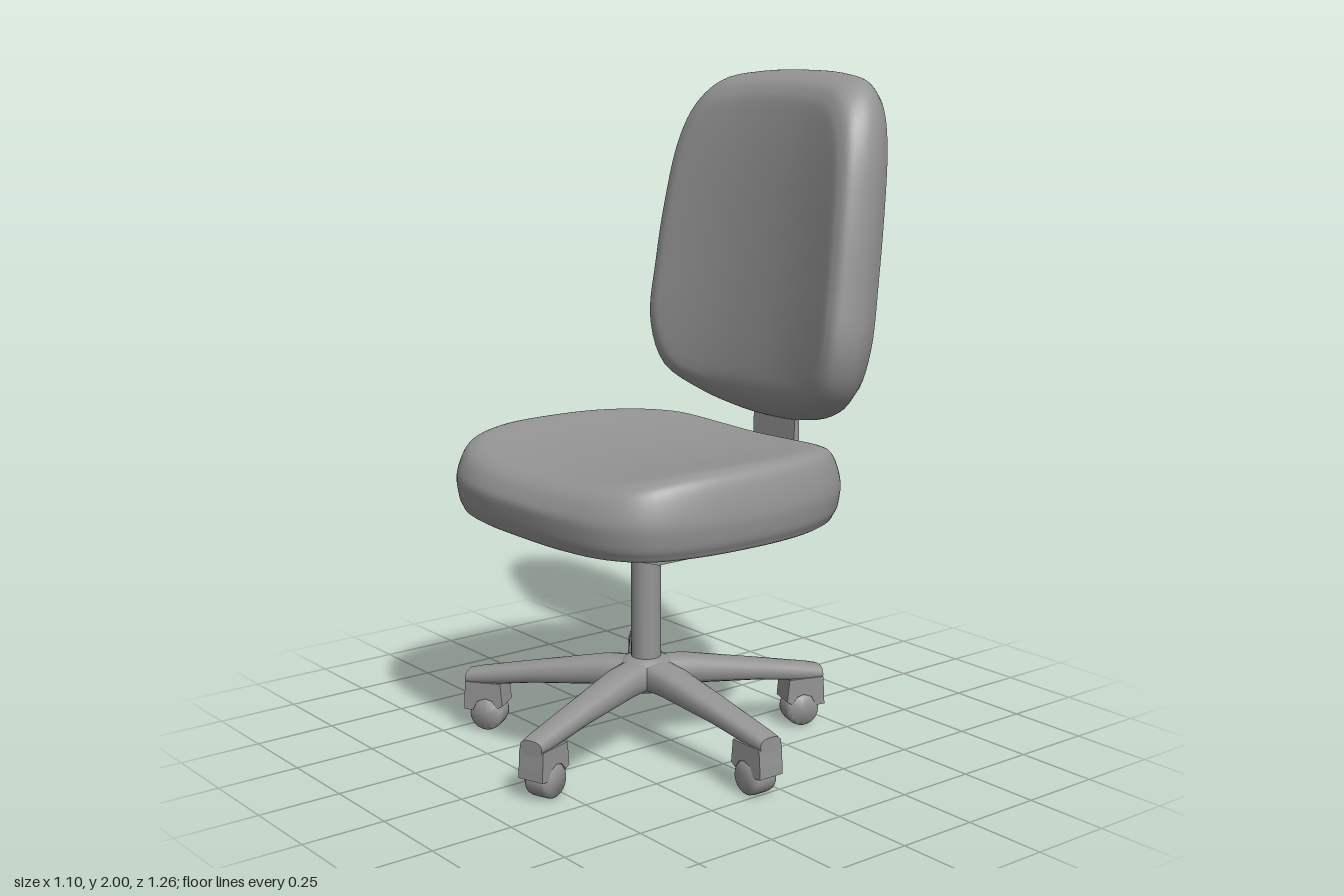
import * as THREE from 'three';
import { mergeVertices, toCreasedNormals } from 'three/addons/utils/BufferGeometryUtils.js';

const grey = new THREE.MeshStandardMaterial({ color: 0x949494 });

function add(parent, name, geometry, x = 0, y = 0, z = 0) {
  const mesh = new THREE.Mesh(geometry, grey);
  mesh.name = name;
  mesh.position.set(x, y, z);
  parent.add(mesh);
  return mesh;
}

// Cushion: a mirrored outline swept from one face, round the rim, to the other.
// half: outline points [u, v] with u >= 0, from bottom to top; cv: centre of scaling
// profile: [scale, depth]; place(u, v, depth) gives the point in space
function cushion(half, cv, profile, place) {
  const mirrored = half.slice(1, -1).reverse().map(([u, v]) => [-u, v]);
  const loop = new THREE.CatmullRomCurve3(
    [...half, ...mirrored].map(([u, v]) => new THREE.Vector3(u, v, 0)), true);
  const n = 96, rows = 60;
  const rim = loop.getPoints(n).slice(0, n);
  const section = new THREE.SplineCurve(profile.map(p => new THREE.Vector2(...p))).getPoints(rows);
  section[0].x = section[rows].x = 0;
  const position = [], index = [];
  section.forEach(({ x: s, y: d }, i) => rim.forEach((p, j) => {
    position.push(...place(p.x * s, cv + (p.y - cv) * s, d));
    if (i === rows) return;
    const a = i * n + j, b = i * n + (j + 1) % n;
    index.push(a, a + n, b + n, a, b + n, b);
  }));
  let g = new THREE.BufferGeometry();
  g.setAttribute('position', new THREE.Float32BufferAttribute(position, 3));
  g.setIndex(index);
  g = mergeVertices(g, 1e-5);
  g.computeVertexNormals();
  return g;
}

// Extrude a flat outline, centred on its depth
function slab(points, width) {
  const shape = new THREE.Shape(points.map(p => new THREE.Vector2(...p)));
  const g = new THREE.ExtrudeGeometry(shape, { depth: width, bevelEnabled: false });
  return g.translate(0, 0, -width / 2);
}
// Side profile [z, y] extruded across x
const sideSlab = (points, width) => slab(points, width).rotateY(-Math.PI / 2);

const lathe = (points, sides) => toCreasedNormals(
  new THREE.LatheGeometry(points.map(p => new THREE.Vector2(...p)), sides), 0.9);

// Tapered rounded arm along +x through sections [x, bottom, top, halfWidth]
function armGeometry(sections) {
  const last = sections.length - 1;
  const g = new THREE.CylinderGeometry(1, 1, 1, 16, last, false, Math.PI / 2);
  const p = g.attributes.position;
  const soft = v => Math.sign(v) * Math.abs(v) ** 0.75;
  for (let i = 0; i < p.count; i++) {
    const [x, lo, hi, w] = sections[Math.round((p.getY(i) + 0.5) * last)];
    p.setXYZ(i, x, (lo + hi) / 2 - soft(p.getX(i)) * (hi - lo) / 2, soft(p.getZ(i)) * w);
  }
  g.computeVertexNormals();
  return g;
}

export function createModel() {
  const chair = new THREE.Group();
  chair.name = 'officeChair';
  const cx = -0.03, cz = 0.07;
  const { smoothstep } = THREE.MathUtils;

  // Seat: dished across, falling away slightly at the front edge
  const seatOutline = [[0, -0.54], [0.2, -0.532], [0.36, -0.495], [0.455, -0.42], [0.505, -0.28],
    [0.52, -0.08], [0.51, 0.08], [0.48, 0.2], [0.43, 0.3], [0.36, 0.37], [0.2, 0.405], [0, 0.41]];
  const seatProfile = [[0, 0.913], [0.5, 0.913], [0.8, 0.914], [0.9, 0.906], [0.96, 0.882], [1, 0.83],
    [1, 0.785], [0.975, 0.735], [0.9, 0.711], [0.5, 0.703], [0, 0.703]];
  add(chair, 'seat', cushion(seatOutline, -0.07, seatProfile, (u, v, d) => {
    const top = smoothstep(d, 0.8, 0.9);
    const fall = 0.018 * Math.max(0, (-v - 0.2) / 0.25) ** 2;
    return [u, d + top * (0.033 * (u / 0.45) ** 2 - fall), -v];
  }), cx);

  // Backrest: leaning back, wrapping forward at the sides, hollowed round the cover
  const backOutline = [[0, 0.945], [0.12, 0.952], [0.26, 0.985], [0.39, 1.06], [0.45, 1.2], [0.45, 1.4],
    [0.438, 1.6], [0.41, 1.8], [0.365, 1.91], [0.3, 1.97], [0.18, 1.993], [0, 2]];
  const backProfile = [[0, 0.11], [0.5, 0.107], [0.8, 0.097], [0.9, 0.083], [0.96, 0.056], [1, 0.005],
    [1, -0.04], [0.955, -0.08], [0.89, -0.1], [0.6, -0.11], [0, -0.11]];
  add(chair, 'backrest', cushion(backOutline, 1.45, backProfile, (u, v, d) => {
    const hollow = 0.04 * Math.exp(-((u / 0.15) ** 4)) * (1 - smoothstep(v, 1.3, 1.5)) * smoothstep(-d, 0.03, 0.1);
    const tuck = 0.035 * (1 - smoothstep(v, 0.93, 1.08)) * (1 - smoothstep(-d, 0.04, 0.1));
    return [u, v, -0.43 - (v - 1.1) * 0.12 + 0.1 * Math.abs(u / 0.45) ** 2.3 + d + hollow - tuck];
  }), -0.045);

  // Bent support bar and the cover on the rear of the backrest
  const bar = [[-0.2, 0.68], [-0.39, 0.68], [-0.425, 0.69], [-0.447, 0.715], [-0.452, 0.75], [-0.452, 1.05],
    [-0.432, 1.05], [-0.432, 0.75], [-0.427, 0.725], [-0.41, 0.708], [-0.385, 0.7], [-0.2, 0.7]];
  add(chair, 'supportBar', sideSlab(bar, 0.19), cx);
  add(chair, 'backCover', sideSlab([[-0.43, 0.96], [-0.5, 0.965], [-0.53, 1.03], [-0.54, 1.15],
    [-0.553, 1.35], [-0.45, 1.35]], 0.2), cx);

  // Tilt mechanism under the seat
  add(chair, 'mechanism', sideSlab([[0.36, 0.715], [0.36, 0.675], [0.17, 0.615], [-0.04, 0.615],
    [-0.23, 0.67], [-0.23, 0.715]], 0.38), cx);

  // Height lever with a flat paddle
  add(chair, 'leverRod', slab([[-0.18, 0.62], [-0.22, 0.62], [-0.31, 0.641], [-0.34, 0.655], [-0.34, 0.666],
    [-0.3, 0.652], [-0.18, 0.634]], 0.03), 0, 0, cz);
  add(chair, 'leverPaddle', new THREE.BoxGeometry(0.12, 0.014, 0.07), -0.39, 0.66, cz);

  // Column and hub
  add(chair, 'column', new THREE.CylinderGeometry(0.045, 0.045, 0.42, 28), cx, 0.43, cz);
  const hub = [[0, 0.18], [0.07, 0.18], [0.085, 0.2], [0.085, 0.25], [0.07, 0.27], [0.045, 0.278], [0, 0.278]];
  add(chair, 'hub', lathe(hub, 28), cx, 0, cz);

  // Five-legged base with hooded casters
  const arm = armGeometry([[0, 0.18, 0.275, 0.06], [0.13, 0.18, 0.268, 0.055], [0.35, 0.163, 0.228, 0.045],
    [0.53, 0.14, 0.194, 0.04], [0.57, 0.138, 0.184, 0.038]]);
  const hood = slab([[0.455, 0.155], [0.448, 0.085], [0.465, 0.075], [0.482, 0.098], [0.505, 0.104],
    [0.53, 0.094], [0.545, 0.065], [0.573, 0.067], [0.572, 0.1], [0.568, 0.155]], 0.084);
  const wheel = lathe([[0, -0.04], [0.044, -0.04], [0.051, -0.033], [0.053, -0.022], [0.053, 0.022],
    [0.051, 0.033], [0.044, 0.04], [0, 0.04]], 24).rotateX(Math.PI / 2);
  for (let i = 0; i < 5; i++) {
    const leg = new THREE.Group();
    leg.name = 'baseLeg';
    leg.position.set(cx, 0, cz);
    leg.rotation.y = i * Math.PI * 0.4;
    add(leg, 'arm', arm);
    add(leg, 'casterHood', hood);
    add(leg, 'wheel', wheel, 0.505, 0.053);
    chair.add(leg);
  }
  return chair;
}
